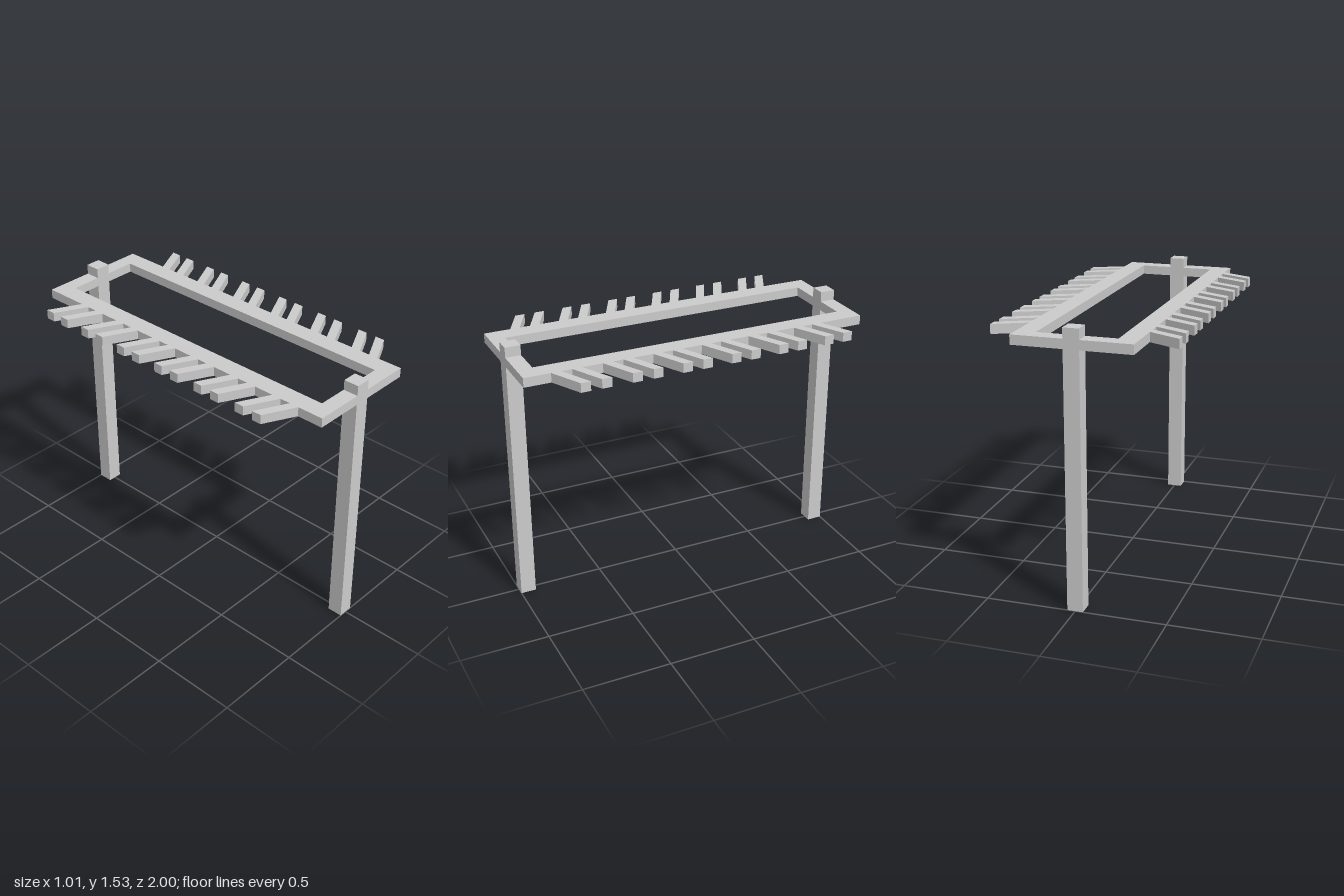
import * as THREE from 'three';

const material = new THREE.MeshStandardMaterial({ color: 0xcccccc, flatShading: true });
const RAIL_Y = 1.42, RAIL_H = 0.053;
const POST = 0.087, POST_H = 1.53;
const OUTER = 0.325, INNER = 0.218, TIP = 0.505;

// Flat slab at rail height from an [x, z] outline, mirrored in x when side is -1
function slab(name, outline, side) {
  const shape = new THREE.Shape(outline.map(([x, z]) => new THREE.Vector2(x * side, -z)));
  const geometry = new THREE.ExtrudeGeometry(shape, { depth: RAIL_H, bevelEnabled: false });
  geometry.rotateX(-Math.PI / 2).translate(0, RAIL_Y, 0);
  const mesh = new THREE.Mesh(geometry, material);
  mesh.name = name;
  return mesh;
}

export function createModel() {
  const model = new THREE.Group();
  model.name = 'rack';

  // Square posts at the two ends
  for (const end of [1, -1]) {
    const post = new THREE.Mesh(new THREE.BoxGeometry(POST, POST_H, POST), material);
    post.name = end > 0 ? 'frontPost' : 'backPost';
    post.position.set(0, POST_H / 2, end * (1 - POST / 2));
    model.add(post);
  }

  for (const side of [1, -1]) {
    const label = side > 0 ? 'left' : 'right';

    // C-shaped half of the top frame, meeting the posts at both ends
    const p = POST / 2, e = 1 - POST;
    model.add(slab(label + 'FrameHalf', [
      [p, 1], [OUTER, 1], [OUTER, -1], [p, -1],
      [p, -e], [INNER, -e], [INNER, e], [p, e],
    ], side));

    // Six pairs of slanted prongs, swept towards the back
    const prongs = new THREE.Group();
    prongs.name = label + 'Prongs';
    for (let pair = 0; pair < 6; pair++) {
      for (let k = 0; k < 2; k++) {
        const z = -0.83 + pair * 0.284 + k * 0.115;
        prongs.add(slab('prong', [
          [OUTER, z + 0.09], [OUTER, z + 0.145], [TIP, z + 0.055], [TIP, z],
        ], side));
      }
    }
    model.add(prongs);
  }
  return model;
}
